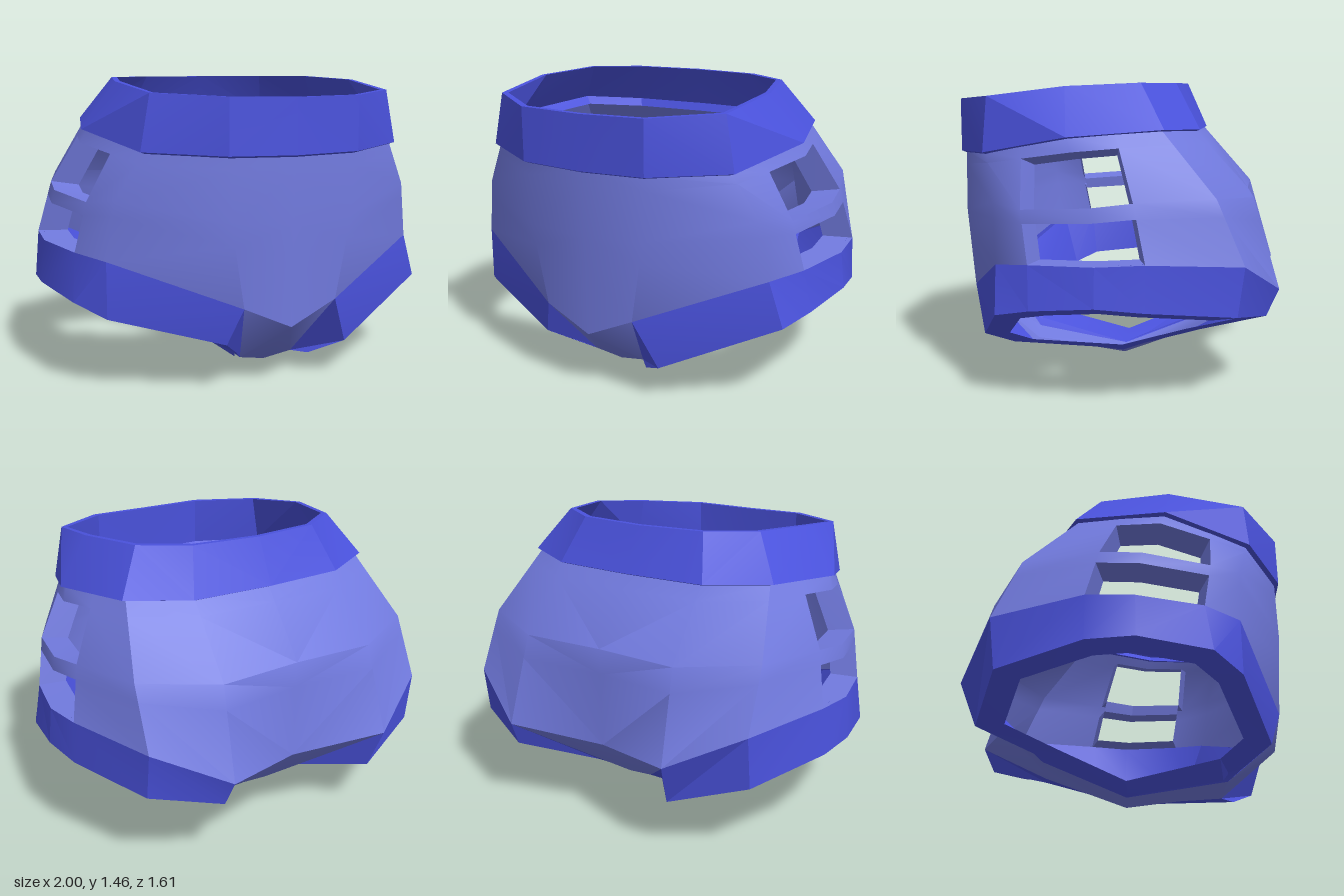
import * as THREE from 'three';
import { toCreasedNormals } from 'three/addons/utils/BufferGeometryUtils.js';

const mat = (color) => new THREE.MeshStandardMaterial({ color, side: THREE.DoubleSide });
const cloth = mat(0x727be0);
const trim = mat(0x4a52dd);

const lerp = (a, b, t) => a.map((v, i) => v + (b[i] - v) * t);
const scaleAbout = (c, s) => (p) => p.map((v, i) => c[i] + (v - c[i]) * s[i]);

// Skins a grid of rows; side -1 mirrors it across x
function loft(out, rows, side, closed = false, skip = () => false) {
  const n = rows[0].length;
  for (let r = 0; r < rows.length - 1; r++) {
    for (let c = 0; c < (closed ? n : n - 1); c++) {
      if (skip(r, c)) continue;
      const d = (c + 1) % n;
      const [p, q, s, t] = [rows[r][c], rows[r][d], rows[r + 1][c], rows[r + 1][d]];
      const tris = side > 0 ? [p, q, s, q, t, s] : [p, s, q, q, s, t];
      tris.forEach(([x, y, z]) => out.push(x * side, y, z));
    }
  }
}

function makeMesh(name, positions, material, crease) {
  const g = new THREE.BufferGeometry();
  g.setAttribute('position', new THREE.Float32BufferAttribute(positions, 3));
  const mesh = new THREE.Mesh(toCreasedNormals(g, crease), material);
  mesh.name = name;
  return mesh;
}

// Waistband half profiles, back centre to front centre
const bandTop = [[0, 1.46, -.33], [.35, 1.46, -.29], [.57, 1.46, -.14], [.66, 1.445, .2],
  [.62, 1.4, .58], [.33, 1.385, .79], [0, 1.38, .805]];
const bandLow = [[0, 1.24, -.43], [.42, 1.24, -.41], [.71, 1.25, -.26], [.82, 1.22, .17],
  [.67, 1.14, .59], [.33, 1.125, .79], [0, 1.12, .81]];

// Body columns: back centre, buttock, back hip, window back, side, window front, front hip, front, front centre
const waist = [bandLow[0], bandLow[1], bandLow[2], [.77, 1.235, -.05], bandLow[3],
  [.74, 1.18, .4], bandLow[4], bandLow[5], bandLow[6]]
  .map(scaleAbout([0, 1.2, .2], [.965, 1, .965]));
const mid = [[0, .92, -.65], [.43, .92, -.67], [.79, .95, -.5], [.9, .94, -.14], [.93, .92, .05],
  [.86, .9, .37], [.77, .92, .52], [.31, .82, .775], [0, .8, .785]];
const low = [[0, .42, -.64], [.455, .48, -.8], [.8, .65, -.63], [.96, .68, -.2], [.98, .67, .02],
  [.91, .66, .33], [.81, .64, .5], [.24, .42, .76], [0, .31, .77]];

// Crotch strip, front to back: leg-side edge and centre line
const crotchEdge = [low[7], [.14, .1, .5], [.06, .04, 0], [.13, .2, -.42], low[1]];
const crotchMid = [low[8], [0, .07, .48], [0, .005, 0], [0, .19, -.42], low[0]];

// Leg trim: upper edge and lower rim, looping round the leg
const legTop = [...low.slice(1, 8), ...crotchEdge.slice(1, 4)];
const leftRim = [[.47, .35, -.74], [.8, .42, -.6], [.97, .47, -.2], [1, .49, .02], [.95, .46, .32],
  [.88, .42, .49], [.34, .18, .69], [.2, .1, .57], [.07, .045, 0], [.2, .2, -.42]];
// The right leg is cut slightly differently
const rightRim = [[.43, .27, -.72], [.8, .39, -.6], [.98, .45, -.2], [1, .46, .02], [.93, .43, .36],
  [.81, .37, .5], [.3, .24, .7], [.19, .15, .57], [.07, .045, 0], [.2, .2, -.42]];

export function createModel() {
  const group = new THREE.Group();
  group.name = 'briefs';
  const body = [], frames = [], band = [];

  const rows = [
    waist,
    waist.map((p, i) => lerp(p, mid[i], .22)),
    mid,
    mid.map((p, i) => lerp(p, low[i], .26)),
    low,
  ];
  const isWindow = (r, c) => (r === 1 || r === 3) && (c === 3 || c === 4);
  const inward = scaleAbout([0, .67, .1], [.85, .92, .87]);

  for (const side of [1, -1]) {
    // Body shell with two openings on each hip
    loft(body, rows, side, false, isWindow);
    loft(body, crotchEdge.map((p, i) => [p, crotchMid[i]]), side);

    // Thickness around the hip openings, and the back of the bar between them
    for (const r of [1, 3]) {
      const edge = [...rows[r].slice(3, 6), ...rows[r + 1].slice(3, 6).reverse()];
      loft(frames, [edge, edge.map(inward)], side, true);
    }
    loft(frames, [rows[3], rows[2]].map((row) => row.slice(3, 6).map(inward)), side);

    // Waistband: outside, underside, inner ledge, inner wall
    const inTop = bandTop.map(scaleAbout([0, 1.42, .22], [.96, 1, .95]));
    const ledgeIn = bandLow.map(scaleAbout([0, 1.2, .2], [.92, 1, .925]))
      .map(([x, y, z]) => [x, y - .02, z]);
    const ledgeOut = bandLow.map(scaleAbout([0, .9, .2], [.96, 1.06, .96]));
    loft(band, [bandTop, bandLow, ledgeIn, ledgeOut, inTop, bandTop], side);

    // Leg trim: outside, underside, and inner wall
    const rim = side > 0 ? leftRim : rightRim;
    const hole = rim.map(scaleAbout([.55, .28, -.02], [.8, .8, .8]));
    const inner = legTop.map(scaleAbout([.5, .45, 0], [.95, 1, .95]));
    const leg = [];
    loft(leg, [legTop, rim, hole, inner], side, true);
    group.add(makeMesh(side > 0 ? 'leftLegTrim' : 'rightLegTrim', leg, trim, .35));
  }

  group.add(
    makeMesh('body', body, cloth, .7),
    makeMesh('hipOpeningFrames', frames, cloth, .3),
    makeMesh('waistband', band, trim, .35),
  );
  return group;
}
